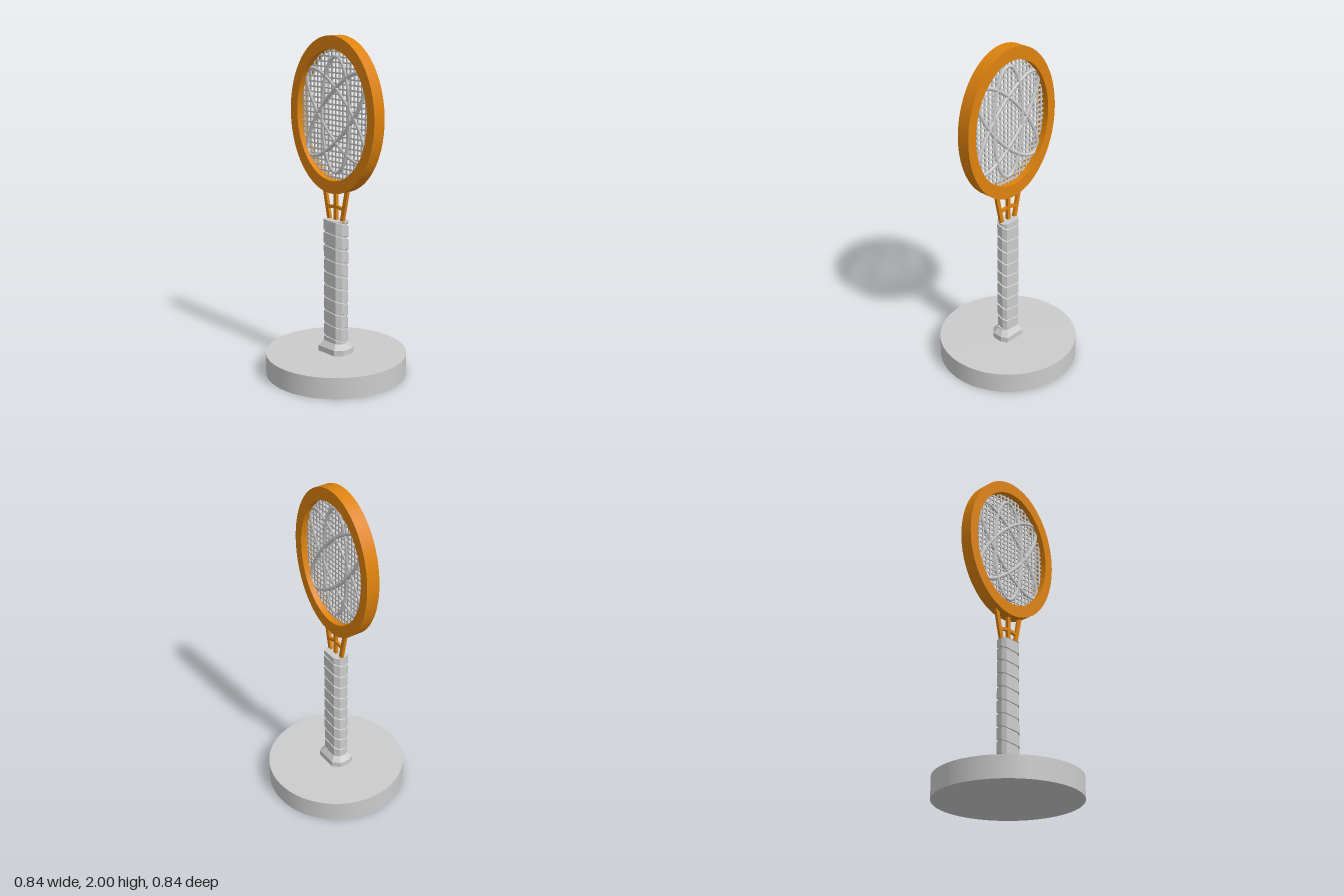
import * as THREE from 'three';
import { toCreasedNormals } from 'three/addons/utils/BufferGeometryUtils.js';

const grey = new THREE.MeshStandardMaterial({ color: 0xcccccc });
const greyFlat = new THREE.MeshStandardMaterial({ color: 0xcccccc, flatShading: true });
const orange = new THREE.MeshStandardMaterial({ color: 0xdd820e });

const HEAD_Y = 1.55;

// Slightly skewed octagon of the butt, as [x, z]; the handle is a scaled copy
const HALF = [[0.07, -0.058], [0.07, 0.077], [0.032, 0.097], [-0.03, 0.095]];
const OCT = [...HALF, ...HALF.map(([x, z]) => [-x, -z])];

function mesh(parent, name, geometry, material) {
  const m = new THREE.Mesh(geometry, material);
  m.name = name;
  parent.add(m);
  return m;
}

// Joins rows of points into a skin; capped closes both ends with fans
function loft(rows, closed, capped) {
  const n = rows[0].length, pos = rows.flat(2), idx = [];
  for (let r = 0; r < rows.length - 1; r++) {
    for (let i = 0; i < (closed ? n : n - 1); i++) {
      const a = r * n + i, b = r * n + (i + 1) % n;
      idx.push(a, a + n, b, b, a + n, b + n);
    }
  }
  if (capped) {
    const t = (rows.length - 1) * n;
    for (let i = 1; i < n - 1; i++) idx.push(0, i, i + 1, t, t + i + 1, t + i);
  }
  const g = new THREE.BufferGeometry();
  g.setAttribute('position', new THREE.Float32BufferAttribute(pos, 3));
  g.setIndex(idx);
  return g;
}

const octRow = (y, sx, sz) => OCT.map(([x, z]) => [x * sx, y, z * sz]);

// Square bar between two points
function bar(parent, name, a, b, w, d) {
  const A = new THREE.Vector3(...a), B = new THREE.Vector3(...b);
  const m = mesh(parent, name, new THREE.BoxGeometry(d, A.distanceTo(B), w), orange);
  m.position.copy(A).add(B).multiplyScalar(0.5);
  m.quaternion.setFromUnitVectors(new THREE.Vector3(0, 1, 0), B.sub(A).normalize());
}

function createHandle() {
  const g = new THREE.Group();
  g.name = 'handle';
  const y0 = 0.185, y1 = 0.94, pitch = 0.08, gap = 0.009;
  mesh(g, 'butt', loft([octRow(0.12, 1, 1), octRow(0.16, 1, 1), octRow(0.193, 0.65, 0.72)], true, true), greyFlat);
  mesh(g, 'handleCore', loft([octRow(0.15, 0.58, 0.66), octRow(y1, 0.58, 0.66)], true, true), greyFlat);

  // Grip tape winding up the core, leaving a narrow groove between turns
  const rows = [], clamp = (y) => Math.min(y1, Math.max(y0, y));
  for (let i = -8; i <= 8 * 10; i++) {
    const [x, z] = OCT[(i + 16) % 8];
    const lo = y0 + (i / 8) * pitch, hi = lo + pitch - gap;
    const p = (s, t, y) => [x * s, clamp(y), z * t];
    rows.push([p(0.56, 0.64, lo), p(0.65, 0.735, lo + 0.003), p(0.65, 0.735, hi - 0.003), p(0.56, 0.64, hi)]);
  }
  const tape = greyFlat.clone();
  tape.side = THREE.DoubleSide;
  const skin = loft(rows, false, false);
  // Turn the strip outward
  const idx = skin.index.array;
  for (let i = 0; i < idx.length; i += 3) [idx[i + 1], idx[i + 2]] = [idx[i + 2], idx[i + 1]];
  mesh(g, 'gripTape', skin, tape);
  return g;
}

function createHead() {
  const g = new THREE.Group();
  g.name = 'head';

  // Oval frame
  const shape = new THREE.Shape().absellipse(0, 0, 0.345, 0.45, 0, Math.PI * 2);
  shape.holes.push(new THREE.Path().absellipse(0, 0, 0.288, 0.375, 0, Math.PI * 2, true));
  const frame = new THREE.ExtrudeGeometry(shape, { depth: 0.08, bevelEnabled: false, curveSegments: 72 });
  frame.translate(0, 0, -0.04).rotateY(Math.PI / 2);
  mesh(g, 'frame', toCreasedNormals(frame, 0.6), orange);

  // String grid clipped to the oval
  const rz = 0.295, ry = 0.382, step = 0.03, t = 0.009;
  const strings = new THREE.Group();
  strings.name = 'strings';
  g.add(strings);
  for (let i = -9; i <= 9; i++) {
    const z = i * step, len = 2 * ry * Math.sqrt(1 - (z / rz) ** 2);
    mesh(strings, 'mainString', new THREE.BoxGeometry(t, len, t), grey).position.z = z;
  }
  for (let i = -12; i <= 12; i++) {
    const y = i * step, len = 2 * rz * Math.sqrt(1 - (y / ry) ** 2);
    mesh(strings, 'crossString', new THREE.BoxGeometry(t, t, len), grey).position.y = y;
  }

  // Three crossed oval rings
  for (const tilt of [0, 0.75, -0.75]) {
    const pts = [];
    for (let i = 0; i < 40; i++) {
      const a = (i / 40) * Math.PI * 2;
      pts.push(new THREE.Vector3(0, 0.333 * Math.cos(a), 0.113 * Math.sin(a)));
    }
    const ring = new THREE.TubeGeometry(new THREE.CatmullRomCurve3(pts, true), 96, 0.012, 8, true);
    mesh(g, 'orbitRing', ring, grey).rotation.x = tilt;
  }
  g.position.y = HEAD_Y;
  return g;
}

function createThroat() {
  const g = new THREE.Group();
  g.name = 'throat';
  bar(g, 'middleStrut', [0, 0.92, 0], [0, 1.13, 0], 0.02, 0.018);
  for (const s of [-1, 1]) {
    bar(g, 'sideStrut', [0, 0.92, s * 0.05], [0, 1.14, s * 0.097], 0.024, 0.018);
    bar(g, 'crossBar', [0, 1.02, 0], [0, 1.008, s * 0.07], 0.018, 0.016);
  }
  return g;
}

export function createModel() {
  const model = new THREE.Group();
  model.name = 'racketTrophy';
  mesh(model, 'base', new THREE.CylinderGeometry(0.42, 0.42, 0.127, 96), grey).position.y = 0.0635;
  model.add(createHandle(), createThroat(), createHead());
  return model;
}
